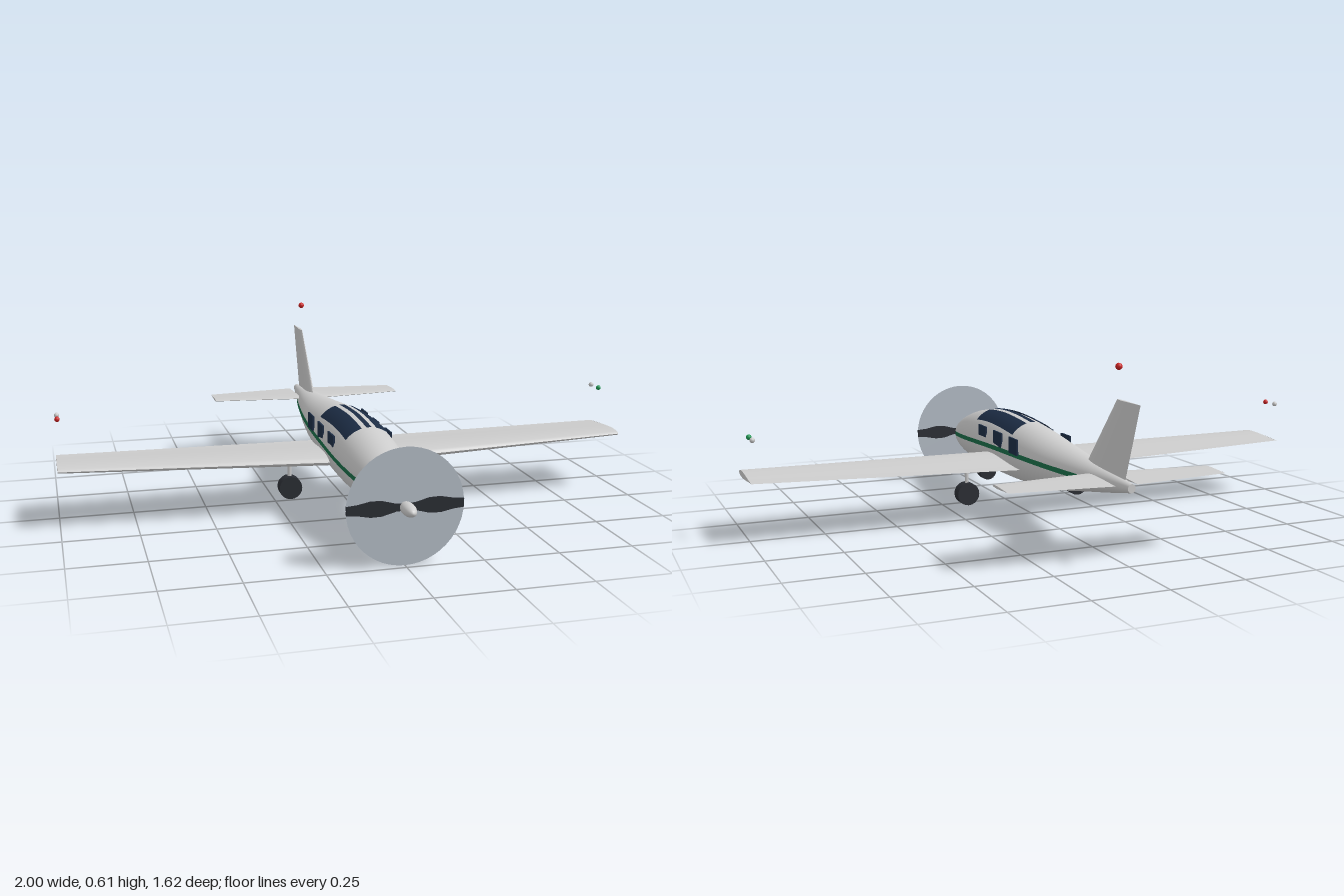
import * as THREE from 'three';
import { toCreasedNormals } from 'three/addons/utils/BufferGeometryUtils.js';

const mat = (color, side = THREE.FrontSide) => new THREE.MeshStandardMaterial({ color, side });
const GREY = mat(0xcccccc), DARK = mat(0x2a2d33), GLASS = mat(0x1c2c44, THREE.DoubleSide);
const GREEN = mat(0x1a6b47, THREE.DoubleSide), RED = mat(0xcc2222), LAMP_GREEN = mat(0x1f9a55);
const DISC = mat(0xb4bcc6, THREE.DoubleSide);

// Fuselage stations: z, half width, top, bottom
const STATIONS = [
  [-0.76, 0.013, 0.26, 0.232], [-0.62, 0.032, 0.272, 0.205], [-0.47, 0.057, 0.286, 0.178],
  [-0.275, 0.083, 0.304, 0.143], [-0.06, 0.1, 0.328, 0.121], [0.15, 0.106, 0.341, 0.113],
  [0.3, 0.106, 0.335, 0.113], [0.44, 0.097, 0.316, 0.117], [0.55, 0.08, 0.287, 0.125],
  [0.647, 0.054, 0.249, 0.142], [0.72, 0.013, 0.2, 0.163],
];

// Smooth value of a station column at z
function at(z, k) {
  const S = STATIONS, n = S.length - 1;
  let i = 0;
  while (i < n - 1 && z > S[i + 1][0]) i++;
  const slope = (j) => {
    const a = S[Math.max(j - 1, 0)], b = S[Math.min(j + 1, n)];
    return (b[k] - a[k]) / (b[0] - a[0]);
  };
  const h = S[i + 1][0] - S[i][0], t = (z - S[i][0]) / h, t2 = t * t, t3 = t2 * t;
  return S[i][k] * (2 * t3 - 3 * t2 + 1) + slope(i) * h * (t3 - 2 * t2 + t)
    + S[i + 1][k] * (3 * t2 - 2 * t3) + slope(i + 1) * h * (t3 - t2);
}
function section(z) {
  const top = at(z, 2), bottom = at(z, 3);
  return { w: at(z, 1), cy: (top + bottom) / 2, h: (top - bottom) / 2 };
}

// Skin through closed rings of points, with flat end caps
function loft(rings) {
  const n = rings[0].length, pos = [], idx = [];
  rings.forEach((r) => r.forEach((p) => pos.push(...p)));
  for (let i = 0; i < rings.length - 1; i++) {
    for (let j = 0; j < n; j++) {
      const a = i * n + j, b = i * n + (j + 1) % n;
      idx.push(a, b, b + n, a, b + n, a + n);
    }
  }
  [rings[0], rings[rings.length - 1]].forEach((r, end) => {
    const base = pos.length / 3;
    r.forEach((p) => pos.push(...p));
    for (let j = 1; j < n - 1; j++) {
      idx.push(base, base + (end ? j : j + 1), base + (end ? j + 1 : j));
    }
  });
  return surface(pos, idx);
}
function surface(pos, idx) {
  const g = new THREE.BufferGeometry();
  g.setAttribute('position', new THREE.Float32BufferAttribute(pos, 3));
  g.setIndex(idx);
  g.computeVertexNormals();
  return g;
}

// Open sheet from a point rule over u, v in 0..1
function sheet(nu, nv, point) {
  const pos = [], idx = [];
  for (let i = 0; i <= nu; i++) for (let j = 0; j <= nv; j++) pos.push(...point(i / nu, j / nv));
  for (let i = 0; i < nu; i++) {
    for (let j = 0; j < nv; j++) {
      const a = i * (nv + 1) + j, b = a + nv + 1;
      idx.push(a, b, b + 1, a, b + 1, a + 1);
    }
  }
  return surface(pos, idx);
}

// Aerofoil ring: blunt leading edge toward +z, sharp trailing edge
function foil(lead, trail, thick, place) {
  const N = 28;
  return Array.from({ length: N }, (_, i) => {
    const a = (i / N) * Math.PI * 2, s = Math.sin(a);
    const z = (lead + trail) / 2 + ((lead - trail) / 2) * s;
    return place(z, (thick / 2) * Math.cos(a) * (1 + s) * 0.77);
  });
}

// Horizontal surface on one side; sections are [x, y, lead, trail, thickness]
function wing(side, sections) {
  const rings = sections.map(([x, y, l, t, th]) => foil(l, t, th, (z, d) => [side * x, y + d, z]));
  if (side < 0) rings.reverse();
  return toCreasedNormals(loft(rings), 0.7);
}

export function createModel() {
  const model = new THREE.Group();
  const add = (name, geometry, material, x = 0, y = 0, z = 0) => {
    const m = new THREE.Mesh(geometry, material);
    m.name = name;
    m.position.set(x, y, z);
    model.add(m);
    return m;
  };
  const lerp = THREE.MathUtils.lerp;

  // Fuselage
  const rings = [];
  for (let i = 0; i <= 48; i++) {
    const z = lerp(-0.76, 0.72, i / 48), { w, cy, h } = section(z);
    rings.push(Array.from({ length: 40 }, (_, j) => {
      const a = (j / 40) * Math.PI * 2;
      return [w * Math.cos(a), cy + h * Math.sin(a), z];
    }));
  }
  add('fuselage', loft(rings), GREY);

  // Roof glazing: two wide panels and a narrow centre strip
  [[-0.08, -0.025], [-0.009, 0.009], [0.025, 0.08]].forEach(([x0, x1]) => {
    add('roofWindow', sheet(16, 6, (u, v) => {
      const z = lerp(-0.02, 0.33, u), x = lerp(x0, x1, v), { w, cy, h } = section(z);
      return [x, cy + h * Math.sqrt(1 - (x / w) ** 2) + 0.005, z];
    }), GLASS);
  });

  for (const side of [-1, 1]) {
    // Side stripe following the hull
    add('stripe', sheet(48, 2, (u, v) => {
      const z = lerp(-0.575, 0.585, u), { w, cy, h } = section(z);
      const y = 0.236 - 0.031 * Math.max(0, (z + 0.1) / 0.685) ** 2 + (v - 0.5) * 0.016;
      const k = Math.min(1, Math.abs((y - cy) / h));
      return [side * (w * Math.sqrt(1 - k * k) + 0.003), y, z];
    }), GREEN);

    // Cabin windows
    for (const z of [0.217, 0.068, -0.078]) {
      add('sideWindow', new THREE.BoxGeometry(0.006, 0.056, 0.074), GLASS, side * 0.1, 0.266, z);
    }

    // Wing and tailplane
    add('wing', wing(side, [
      [0, 0.186, 0.205, -0.12, 0.044], [0.1, 0.188, 0.2, -0.113, 0.042], [1, 0.207, 0.155, -0.068, 0.022],
    ]), GREY);
    add('tailplane', wing(side, [
      [0.037, 0.25, -0.53, -0.73, 0.012], [0.37, 0.25, -0.568, -0.692, 0.008],
    ]), GREY);

    // Main gear
    add('mainStrut', new THREE.CylinderGeometry(0.007, 0.007, 0.1, 12), GREY, side * 0.215, 0.135, 0.08);
    add('mainWheel', new THREE.CylinderGeometry(0.04, 0.04, 0.04, 20), DARK, side * 0.215, 0.077, 0.08)
      .rotation.x = Math.PI / 2;

    // Lamps above the wing tips
    const lamp = new THREE.SphereGeometry(0.009, 12, 8);
    add('navigationLamp', lamp, side < 0 ? RED : LAMP_GREEN, side * 0.99, 0.348, 0);
    add('tailLamp', lamp, GREY, side * 0.99, 0.348, -0.06);
  }

  // Fin, leaning back
  const finRing = (y, l, t, th) => foil(l, t, th, (z, d) => [-d, y, z]);
  add('fin', toCreasedNormals(loft([
    finRing(0.245, -0.435, -0.71, 0.022), finRing(0.286, -0.47, -0.727, 0.02), finRing(0.503, -0.66, -0.806, 0.01),
  ]), 0.7), GREY);
  add('beacon', new THREE.SphereGeometry(0.011, 12, 8), RED, 0, 0.603, -0.667);

  // Nose gear
  add('noseStrut', new THREE.CylinderGeometry(0.007, 0.007, 0.07, 12), GREY, 0, 0.12, 0.44);
  add('noseWheel', new THREE.CylinderGeometry(0.034, 0.034, 0.04, 20), DARK, 0, 0.076, 0.44)
    .rotation.x = Math.PI / 2;

  // Propeller: spinner, two blades and the swept disc
  add('spinner', new THREE.SphereGeometry(1, 24, 16), GREY, 0, 0.188, 0.757).scale.set(0.022, 0.02, 0.052);
  const half = [[0, 0.011], [0.03, 0.012], [0.075, 0.024], [0.11, 0.025], [0.15, 0.017], [0.185, 0.014]];
  const outline = [...half, ...half.map(([x, y]) => [x, -y]).reverse()];
  const blade = new THREE.ExtrudeGeometry(
    new THREE.Shape(outline.map(([x, y]) => new THREE.Vector2(x, y))),
    { depth: 0.008, bevelEnabled: false },
  ).translate(0, 0, -0.004);
  for (const turn of [0, Math.PI]) add('blade', blade, DARK, 0, 0.188, 0.73).rotation.z = turn;
  add('propellerDisc', new THREE.CircleGeometry(0.186, 48), DISC, 0, 0.188, 0.73);

  return model;
}
